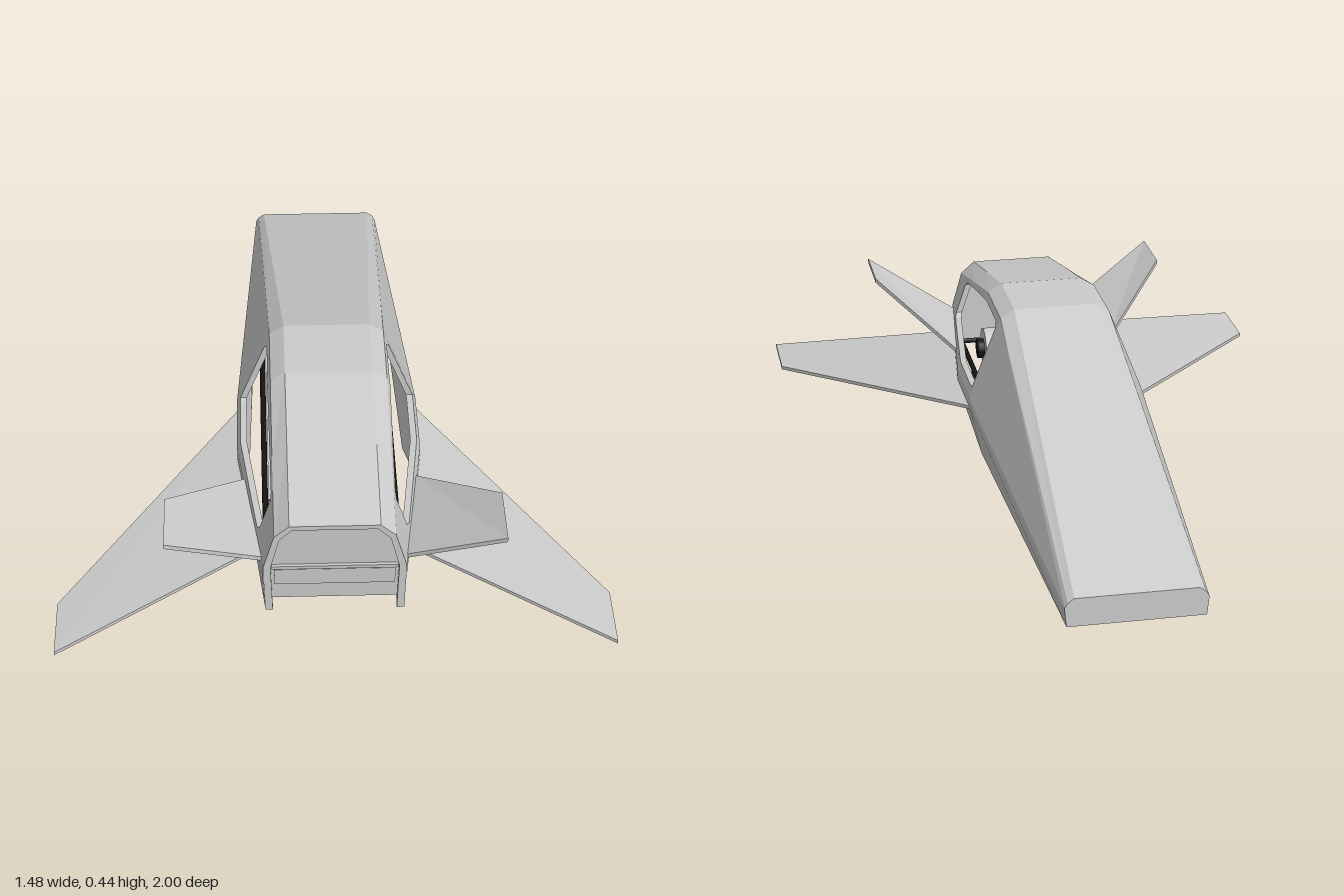
import * as THREE from 'three';

const grey = new THREE.MeshStandardMaterial({ color: 0xcccccc, flatShading: true, side: THREE.DoubleSide });
const smooth = new THREE.MeshStandardMaterial({ color: 0xcccccc });
const black = new THREE.MeshStandardMaterial({ color: 0x151515 });

// Half cross-sections: bottom, lower waist, upper waist, shoulder, roof edge
const stations = [
  { z: -1.0, p: [[0.185, 0], [0.19, 0.045], [0.19, 0.055], [0.182, 0.068], [0.165, 0.08]] },
  { z: 0.12, p: [[0.22, 0], [0.255, 0.15], [0.255, 0.18], [0.16, 0.42], [0.12, 0.445]] },
  { z: 0.34, p: [[0.24, 0.085], [0.255, 0.15], [0.255, 0.18], [0.16, 0.42], [0.12, 0.445]] },
  { z: 0.60, p: [[0.215, 0.08], [0.223, 0.15], [0.223, 0.185], [0.16, 0.358], [0.12, 0.388]] },
  { z: 0.85, p: [[0.185, 0.045], [0.19, 0.15], [0.19, 0.19], [0.16, 0.295], [0.12, 0.33]] },
];

const lerp = THREE.MathUtils.lerp;

// Hull point i at any length z
function section(z, i) {
  let k = 0;
  while (k < stations.length - 2 && z > stations[k + 1].z) k++;
  const a = stations[k], b = stations[k + 1], t = (z - a.z) / (b.z - a.z);
  return [lerp(a.p[i][0], b.p[i][0], t), lerp(a.p[i][1], b.p[i][1], t), z];
}

// Point on the upper side panel at length z and height y
function onSide(z, y, inset = 0) {
  const a = section(z, 2), b = section(z, 3), t = (y - a[1]) / (b[1] - a[1]);
  return [lerp(a[0], b[0], t) - inset, y, z];
}

function quadMesh(name, quads) {
  const pos = [];
  for (const [a, b, c, d] of quads) pos.push(...a, ...b, ...c, ...a, ...c, ...d);
  const g = new THREE.BufferGeometry();
  g.setAttribute('position', new THREE.Float32BufferAttribute(pos, 3));
  g.computeVertexNormals();
  const m = new THREE.Mesh(g, grey);
  m.name = name;
  return m;
}

const flip = (p) => [-p[0], p[1], p[2]];
const mirrored = (quads) => [...quads, ...quads.map((q) => q.map(flip).reverse())];

// Thin plate between four corners
function plate(name, corners, thickness) {
  const up = corners.map(([x, y, z]) => [x, y + thickness / 2, z]);
  const lo = corners.map(([x, y, z]) => [x, y - thickness / 2, z]);
  const quads = [up, [...lo].reverse()];
  for (let i = 0; i < 4; i++) {
    const j = (i + 1) % 4;
    quads.push([up[i], lo[i], lo[j], up[j]]);
  }
  return quadMesh(name, quads);
}

function box(name, w, h, d, x, y, z, mat = grey, rx = 0) {
  const m = new THREE.Mesh(new THREE.BoxGeometry(w, h, d), mat);
  m.position.set(x, y, z);
  m.rotation.x = rx;
  m.name = name;
  return m;
}

// Straight round bar between two points
function bar(name, a, b, r, mat = black, sides = 8) {
  const p = new THREE.Vector3(...a), dir = new THREE.Vector3(...b).sub(p);
  const m = new THREE.Mesh(new THREE.CylinderGeometry(r, r, dir.length(), sides), mat);
  m.position.copy(p).addScaledVector(dir, 0.5);
  m.quaternion.setFromUnitVectors(new THREE.Vector3(0, 1, 0), dir.normalize());
  m.name = name;
  return m;
}

function buildHull() {
  const hull = new THREE.Group();
  hull.name = 'hull';
  const side = [], roof = [], jamb = [];
  for (let k = 0; k < stations.length - 1; k++) {
    const z0 = stations[k].z, z1 = stations[k + 1].z;
    for (const i of [0, 1, 2, 3]) {
      if (i === 2 && k > 0) continue;
      side.push([section(z0, i), section(z1, i), section(z1, i + 1), section(z0, i + 1)]);
    }
    roof.push([section(z0, 4), section(z1, 4), flip(section(z1, 4)), flip(section(z0, 4))]);
  }
  // Upper side panels around the window: [z, sill height, head height]
  const win = [[0.135, 0.207, 0.385], [0.155, 0.205, 0.4], [0.31, 0.205, 0.4], [0.34, 0.205, 0.398],
    [0.6, 0.205, 0.342], [0.7, 0.205, 0.318], [0.72, 0.215, 0.305]];
  const pillar = (z0, z1) => side.push([section(z0, 2), section(z1, 2), section(z1, 3), section(z0, 3)]);
  pillar(0.12, win[0][0]);
  pillar(0.72, 0.85);
  for (let i = 0; i < win.length - 1; i++) {
    const [z0, b0, t0] = win[i], [z1, b1, t1] = win[i + 1];
    side.push([section(z0, 2), section(z1, 2), onSide(z1, b1), onSide(z0, b0)]);
    side.push([onSide(z0, t0), onSide(z1, t1), section(z1, 3), section(z0, 3)]);
    for (const [y0, y1] of [[b0, b1], [t0, t1]])
      jamb.push([onSide(z0, y0), onSide(z1, y1), onSide(z1, y1, 0.018), onSide(z0, y0, 0.018)]);
  }
  for (const [z, b, t] of [win[0], win[win.length - 1]])
    jamb.push([onSide(z, b), onSide(z, t), onSide(z, t, 0.018), onSide(z, b, 0.018)]);
  hull.add(quadMesh('sidePanels', mirrored(side)), quadMesh('roof', roof), quadMesh('windowFrames', mirrored(jamb)));

  // Blunt nose face and the closed underside of the nose
  const nose = [];
  for (let i = 0; i < 4; i++) {
    const a = section(-1, i), b = section(-1, i + 1);
    nose.push([a, b, flip(b), flip(a)]);
  }
  hull.add(quadMesh('noseFace', nose));
  const n0 = section(-1, 0), n1 = section(-0.5, 0);
  hull.add(quadMesh('noseUnderside', [[n0, flip(n0), flip(n1), n1]]));

  // Tail: surrounding rim with a slightly sunken panel
  const outer = [[0.185, 0.045], [0.19, 0.19], [0.16, 0.295], [0.12, 0.33]];
  const inner = [[0.165, 0.045], [0.17, 0.19], [0.146, 0.285], [0.112, 0.317]];
  const mir = (l) => l.map(([x, y]) => [-x, y]);
  const shape = (l) => new THREE.Shape(l.map(([x, y]) => new THREE.Vector2(x, y)));
  const slab = (name, l, depth, z) => {
    const m = new THREE.Mesh(new THREE.ExtrudeGeometry(shape(l), { depth, bevelEnabled: false }), grey);
    m.position.z = z;
    m.name = name;
    return m;
  };
  const rim = [...outer, ...mir(outer).reverse(), ...mir(inner), ...[...inner].reverse()];
  const panel = [[0.168, 0.075], ...inner.slice(1)];
  hull.add(slab('tailRim', rim, 0.025, 0.83));
  hull.add(slab('tailPanel', [...panel, ...mir(panel).reverse()], 0.01, 0.83));
  hull.add(box('tailLedge', 0.335, 0.01, 0.012, 0, 0.185, 0.844));
  hull.add(box('tailInset', 0.32, 0.05, 0.006, 0, 0.15, 0.842));
  return hull;
}

function buildChassis() {
  const g = new THREE.Group();
  g.name = 'chassis';
  // Floor with a raised rear ramp
  g.add(box('floor', 0.34, 0.008, 0.79, 0, 0.012, -0.025));
  g.add(plate('floorRamp', [[-0.17, 0.015, 0.37], [0.17, 0.015, 0.37], [0.17, 0.08, 0.48], [-0.17, 0.08, 0.48]], 0.008));
  // Side rails
  for (const s of [-1, 1]) {
    const x = 0.18 * s;
    g.add(bar('lowerRail', [x, 0.014, -0.5], [x, 0.014, 0.37], 0.008));
    g.add(bar('rampRail', [x, 0.014, 0.37], [x, 0.085, 0.49], 0.008));
    g.add(bar('middleRail', [x, 0.04, 0.1], [x, 0.04, 0.34], 0.006));
    g.add(bar('upperRail', [x, 0.11, -0.3], [x, 0.11, 0.74], 0.008));
    for (const z of [-0.28, 0.1, 0.37]) g.add(bar('post', [x, 0.014, z], [x, 0.11, z], 0.006));
    g.add(bar('rearPost', [x, 0.085, 0.49], [x, 0.11, 0.52], 0.006));
  }
  // Cross members
  for (const [y, z] of [[0.014, -0.5], [0.014, -0.42], [0.014, 0.37], [0.085, 0.49], [0.11, 0.74], [0.11, -0.3]])
    g.add(bar('crossMember', [-0.18, y, z], [0.18, y, z], 0.008));
  return g;
}

function buildCabin() {
  const g = new THREE.Group();
  g.name = 'cabin';
  // Seat with a reclined back
  g.add(box('seatBase', 0.2, 0.03, 0.2, 0, 0.1, 0.28));
  g.add(box('seatBack', 0.2, 0.235, 0.03, 0, 0.21, 0.425, grey, 0.35));
  // Control lever
  g.add(bar('leverStem', [-0.13, 0.1, 0.4], [-0.13, 0.19, 0.4], 0.007));
  g.add(bar('leverGrip', [-0.15, 0.19, 0.4], [-0.11, 0.19, 0.4], 0.01));
  // Engine drum lying across the tail
  g.add(bar('engineDrum', [-0.13, 0.13, 0.62], [0.13, 0.13, 0.62], 0.062, smooth, 24));
  for (const s of [-1, 1])
    g.add(bar('engineHub', [0.13 * s, 0.13, 0.62], [0.15 * s, 0.13, 0.62], 0.03, black, 16));
  return g;
}

export function createModel() {
  const model = new THREE.Group();
  model.name = 'glider';
  model.add(buildHull(), buildChassis(), buildCabin());
  // Drooping wings and upswept tail fins
  for (const s of [-1, 1]) {
    const side = s > 0 ? 'left' : 'right';
    const put = (l) => l.map(([x, y, z]) => [x * s, y, z]);
    model.add(plate(side + 'Wing', put([[0.25, 0.148, 0.12], [0.19, 0.15, 0.72], [0.74, 0.035, 1.0], [0.74, 0.035, 0.81]]), 0.01));
    model.add(plate(side + 'Fin', put([[0.235, 0.183, 0.48], [0.185, 0.183, 0.81], [0.445, 0.33, 0.925], [0.445, 0.33, 0.74]]), 0.013));
  }
  return model;
}
